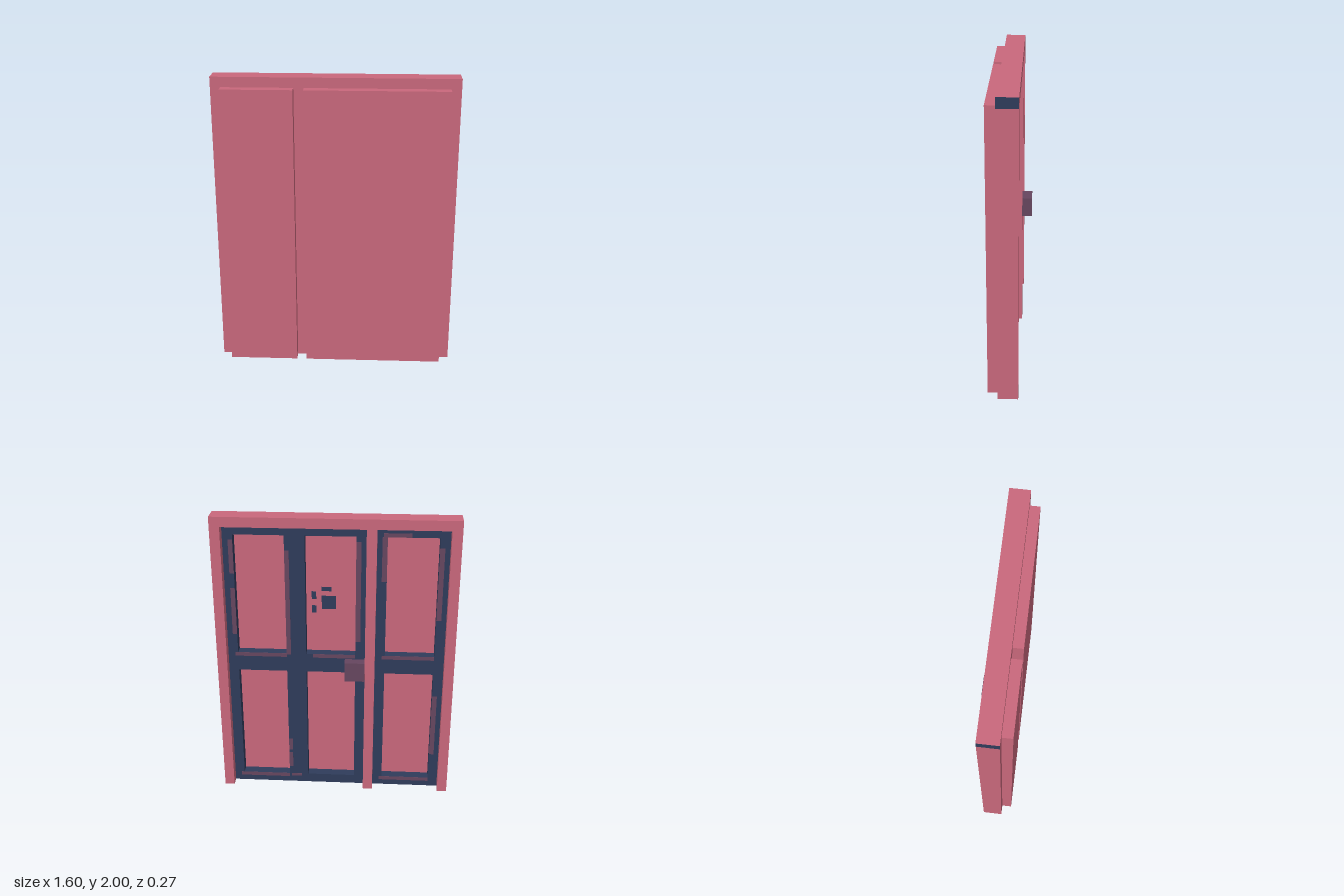
import * as THREE from 'three';

// All sizes are in grid units; one unit is 1/15 of a scene unit.
const UNIT = 1 / 15;

function material(name, color) {
  const m = new THREE.MeshStandardMaterial({ color });
  m.name = name;
  return m;
}

export function createModel() {
  const door = new THREE.Group();
  door.name = 'panelledDoor';
  const rose = material('rose', 0xc9687c);
  const navy = material('navy', 0x2f3c5b);
  const plum = material('plum', 0x66465f);

  // Box between two corners; mats is one material or six (+x -x +y -y +z -z)
  function box(name, [x0, x1], [y0, y1], [z0, z1], mats) {
    const geo = new THREE.BoxGeometry(x1 - x0, y1 - y0, z1 - z0);
    geo.translate((x0 + x1) / 2, (y0 + y1) / 2, (z0 + z1) / 2);
    const mesh = new THREE.Mesh(geo, mats);
    mesh.name = name;
    door.add(mesh);
  }
  const navyEnds = [navy, navy, rose, rose, rose, rose];
  const navyBase = [rose, rose, rose, navy, rose, rose];

  // Outer frame
  box('lintel', [-12, 12], [29, 30], [-1, 1], navyEnds);
  box('rightPost', [-12, -11], [0, 29], [-1, 1], navyBase);
  box('middlePost', [-4, -3], [0, 29], [-1, 1], navyBase);
  box('leftPost', [11, 12], [0, 29], [-1, 1], navyBase);

  // Flat front panels
  box('narrowPanel', [-11, -4], [0, 29], [1, 2], navyBase);
  box('widePanel', [-3, 11], [0, 29], [1, 2], navyBase);

  // Back grilles, with two rows of openings in each column
  function rect(Type, x0, x1, y0, y1) {
    return new Type([[x0, y0], [x1, y0], [x1, y1], [x0, y1]]
      .map(([x, y]) => new THREE.Vector2(x, y)));
  }
  function grille(name, x0, x1, columns) {
    const shape = rect(THREE.Shape, x0, x1, 0, 29);
    for (const [a, b] of columns) {
      for (const [c, d] of [[1, 13.5], [15.5, 28]]) {
        shape.holes.push(rect(THREE.Path, a, b, c, d));
      }
    }
    const geo = new THREE.ExtrudeGeometry(shape, { depth: 1, bevelEnabled: false });
    const mesh = new THREE.Mesh(geo, navy);
    mesh.name = name;
    door.add(mesh);
  }
  grille('narrowGrille', -11, -4, [[-10, -5]]);
  grille('wideGrille', -3, 11, [[-2, 3], [5, 10]]);

  // Handle on the back
  box('handle', [-3, -1], [13.5, 15.5], [-2, -1], plum);

  // Small dark plates on one pane: x range, y range
  const panePlates = [
    [[0, 1.45], [20.1, 21.5]],
    [[0.45, 1.45], [22, 22.45]],
    [[2, 2.45], [21.15, 21.95]],
    [[2, 2.45], [19.65, 20.45]],
  ];
  for (const [x, y] of panePlates) box('panePlate', x, y, [0.97, 1], navy);

  // Worn patches along the edges of the grille bars: x range, y range
  const wear = [
    [[10, 10.45], [24, 27.5]],
    [[10, 10.45], [17.5, 22.5]],
    [[4.55, 5], [15.4, 26.5]],
    [[4.6, 5], [4, 5.4]],
    [[4.6, 5], [1.9, 3.7]],
    [[5, 10.3], [15.1, 15.5]],
    [[5, 10.3], [0.6, 1]],
    [[3.7, 4.8], [0.7, 1]],
    [[-2, 2.3], [15.1, 15.5]],
    [[-2.5, -2], [17, 27.5]],
    [[-5, -4.5], [23.5, 28]],
    [[-10, -4.7], [15.1, 15.5]],
    [[-10, -4.7], [0.6, 1]],
    [[-7.3, -4.6], [28, 28.4]],
    [[-10.5, -10], [19.5, 27]],
    [[-10.5, -10], [4, 11]],
  ];
  for (const [x, y] of wear) box('wornPatch', x, y, [-0.03, 0], plum);

  door.scale.setScalar(UNIT);
  const model = new THREE.Group();
  model.name = 'door';
  model.add(door);
  return model;
}
